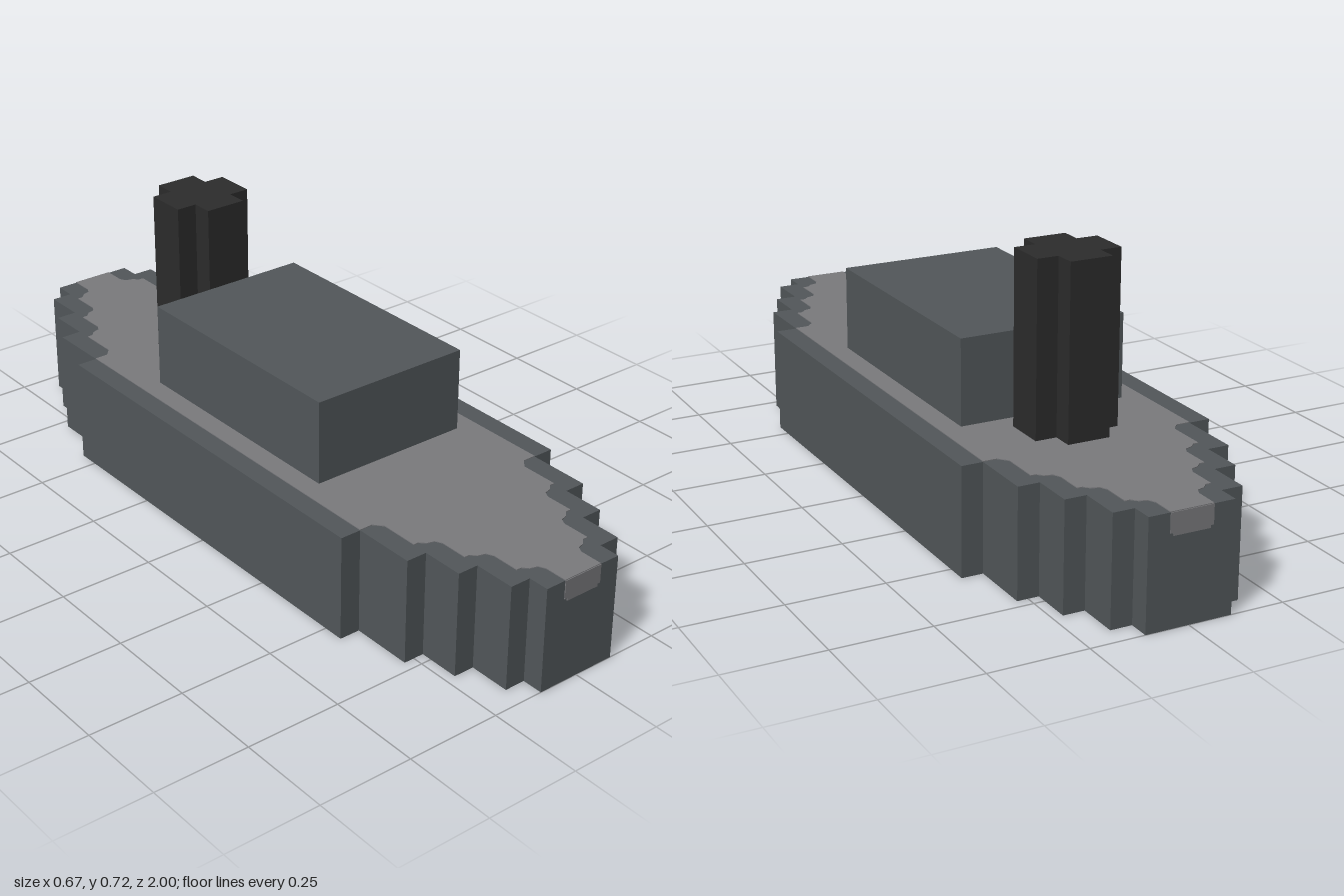
import * as THREE from 'three';

const U = 1 / 18; // block size

// Mirrors a quarter outline (from the side, x > 0, to the end, z > 0) into a full closed shape
function mirroredShape(quarter) {
  const right = [...quarter.map(([x, z]) => [x, -z]).reverse(), ...quarter];
  const left = right.map(([x, z]) => [-x, z]).reverse();
  return new THREE.Shape([...right, ...left].map(([x, z]) => new THREE.Vector2(x * U, z * U)));
}

// Upright prism standing at height y
function prism(name, shape, y, height, material) {
  const geometry = new THREE.ExtrudeGeometry(shape, { depth: height, bevelEnabled: false });
  geometry.rotateX(-Math.PI / 2);
  const mesh = new THREE.Mesh(geometry, material);
  mesh.name = name;
  mesh.position.y = y;
  return mesh;
}

export function createModel() {
  const hullGrey = new THREE.MeshStandardMaterial({ color: 0x52575a });
  hullGrey.name = 'hullGrey';
  const deckGrey = new THREE.MeshStandardMaterial({ color: 0x7a7a7d });
  deckGrey.name = 'deckGrey';
  const funnelBlack = new THREE.MeshStandardMaterial({ color: 0x2c2c2c });
  funnelBlack.name = 'funnelBlack';

  const ship = new THREE.Group();
  ship.name = 'ship';

  // Stepped hull, the same at bow and stern: [half width, end of step] in blocks
  const steps = [[6, 10], [5, 13], [4, 15], [3, 17], [2, 18]];
  const hullOutline = [];
  steps.forEach(([w, z], i) => {
    hullOutline.push([w, z]);
    if (i < steps.length - 1) hullOutline.push([steps[i + 1][0], z]);
  });
  ship.add(prism('hull', mirroredShape(hullOutline), 0, 5 * U, hullGrey));

  // Deck one block in from the rim, with small rounded notches at the steps
  const deckOutline = [[5, 10], [4.35, 10], [4, 10.4]];
  steps.slice(1, -1).forEach(([w, z]) => {
    deckOutline.push([w - 1, z - 0.75], [w - 1.25, z - 0.75], [w - 1.5, z - 0.5],
      [w - 1.85, z - 0.4], [w - 2, z - 0.1]);
  });
  deckOutline.push([1, 18]);
  ship.add(prism('deck', mirroredShape(deckOutline), 5 * U, 0.002, deckGrey));

  // Deck edge showing on the bow and stern faces
  const lip = new THREE.Shape([[-1, 5], [-1, 4.12], [-0.85, 4.12], [-0.85, 4],
    [0.85, 4], [0.85, 4.12], [1, 4.12], [1, 5]].map(([x, y]) => new THREE.Vector2(x * U, y * U)));
  for (const [name, angle] of [['bowLip', 0], ['sternLip', Math.PI]]) {
    const geometry = new THREE.ExtrudeGeometry(lip, { depth: 0.002, bevelEnabled: false });
    geometry.translate(0, 0, 1).rotateY(angle);
    const mesh = new THREE.Mesh(geometry, deckGrey);
    mesh.name = name;
    ship.add(mesh);
  }

  // Cabin
  const cabin = new THREE.Mesh(new THREE.BoxGeometry(8 * U, 4 * U, 12 * U), hullGrey);
  cabin.name = 'cabin';
  cabin.position.y = 7 * U;
  ship.add(cabin);

  // Cross-shaped funnel behind the cabin
  const funnel = prism('funnel', mirroredShape([[2, 1], [1, 1], [1, 2]]), 5 * U, 8 * U, funnelBlack);
  funnel.position.z = -8 * U;
  ship.add(funnel);

  return ship;
}
